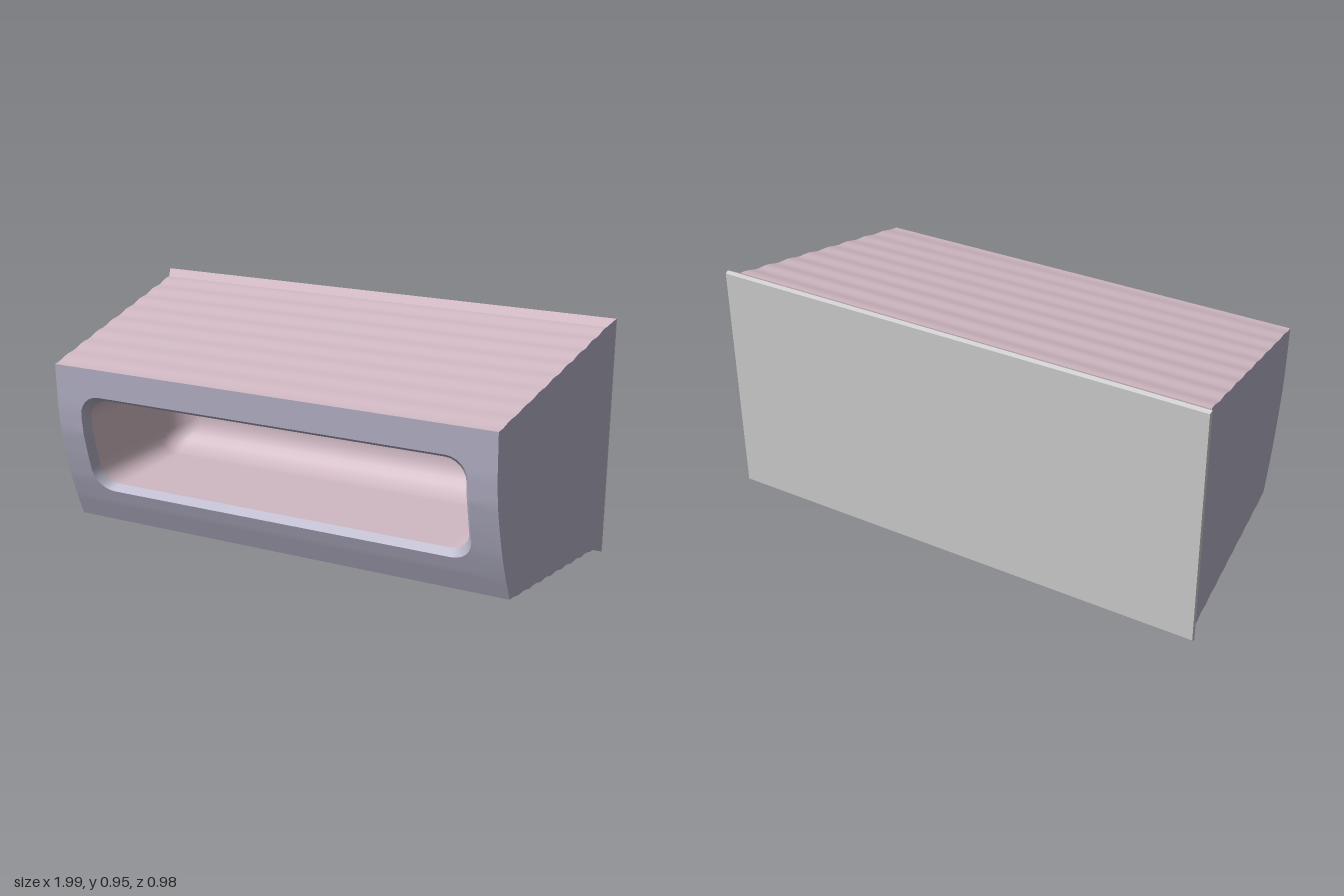
import * as THREE from 'three';

const C = 6, M = 20, BLOCK = C + M, N = 4 * BLOCK; // corner steps, side steps, loop length
const PINK = 0xd0b8c2, SLATE = 0xb4b2c6, GREY = 0xcccccc;
const lerp = THREE.MathUtils.lerp;

// Bowed front: z of the front face at height y
const bow = [[0.11, 0.345], [0.2, 0.385], [0.3, 0.422], [0.4, 0.45], [0.5, 0.474], [0.6, 0.485], [0.77, 0.49]];
function frontZ(y) {
  if (y <= bow[0][0]) return bow[0][1];
  for (let i = 1; i < bow.length; i++) {
    const [y0, z0] = bow[i - 1], [y1, z1] = bow[i];
    if (y <= y1) return lerp(z0, z1, (y - y0) / (y1 - y0));
  }
  return 0.49;
}

// Rounded rectangle, counterclockwise from the front; z is a number or a rule of y
function loop(hw, y0, y1, r, z) {
  const cx = hw - r, corners = [[cx, y1 - r], [-cx, y1 - r], [-cx, y0 + r], [cx, y0 + r]];
  const arc = (k, j) => {
    const a = (k + j / C) * Math.PI / 2, [x, y] = corners[k % 4];
    return new THREE.Vector3(x + r * Math.cos(a), y + r * Math.sin(a), 0);
  };
  const pts = [];
  for (let k = 0; k < 4; k++) {
    for (let j = 0; j <= C; j++) pts.push(arc(k, j));
    const a = arc(k, C), b = arc((k + 1) % 4, 0);
    for (let j = 1; j < M; j++) pts.push(a.clone().lerp(b, j / M));
  }
  pts.forEach(p => { p.z = typeof z === 'function' ? z(p.y) : z; });
  return pts;
}

// Skin over a series of loops, optionally only the points from..to
function skin(name, sections, color, from = 0, to = N) {
  const pos = [], idx = [], w = to - from + 1, closed = to - from === N;
  const row = closed ? N : w;
  for (const s of sections)
    for (let i = 0; i < row; i++) pos.push(...s[(from + i) % N].toArray());
  for (let s = 0; s < sections.length - 1; s++)
    for (let i = 0; i < w - 1; i++) {
      const j = (i + 1) % row, a = s * row + i, b = s * row + j;
      idx.push(a, b, b + row, a, b + row, a + row);
    }
  const g = new THREE.BufferGeometry();
  g.setAttribute('position', new THREE.Float32BufferAttribute(pos, 3));
  g.setIndex(idx);
  g.computeVertexNormals();
  const mesh = new THREE.Mesh(g, new THREE.MeshStandardMaterial({ color }));
  mesh.name = name;
  return mesh;
}

export function createModel() {
  const group = new THREE.Group();
  group.name = 'hollowBox';

  // Flat back panel with a slightly flared rim
  const backEdge = loop(0.995, 0.008, 0.943, 0, -0.49);
  const flare = loop(0.997, 0, 0.95, 0, -0.475);
  const neck = loop(0.975, 0.022, 0.925, 0, -0.43);
  group.add(skin('backPanel', [loop(0, 0.47, 0.47, 0, -0.49), backEdge], GREY));

  // Tapering walls with shallow ripples along the top and bottom
  const walls = [neck], STEPS = 48;
  for (let s = 1; s <= STEPS; s++) {
    const t = s / STEPS;
    const ripple = s < STEPS ? 0.0035 * Math.sin(t * Math.PI * 16) : 0;
    const sec = loop(0.975, lerp(0.022, 0.11, t), lerp(0.925, 0.77, t), 0, 0);
    for (const p of sec) {
      p.z = lerp(-0.43, frontZ(p.y), t);
      p.x *= 1 - 0.084 * (p.z + 0.43);
      p.y += ripple * (p.y > 0.47 ? 1 : -1) * Math.min(1, Math.abs(p.y - 0.47) * 2);
    }
    walls.push(sec);
  }
  [['top', PINK], ['rightWall', SLATE], ['bottom', PINK], ['leftWall', SLATE]].forEach(([name, color], k) => {
    const from = k * BLOCK + C, to = (k + 1) * BLOCK;
    group.add(skin(name, walls, color, from, to));
    group.add(skin(name + 'Rim', [backEdge, flare], GREY, from, to));
    group.add(skin(name + 'Flare', [flare, neck], color, from, to));
  });

  // Bowed front frame around the opening
  const outer = walls[STEPS], opening = loop(0.795, 0.255, 0.66, 0.085, frontZ);
  const face = [];
  for (let s = 0; s <= 10; s++)
    face.push(outer.map((p, i) => {
      const q = p.clone().lerp(opening[i], s / 10);
      q.z = s === 0 ? p.z : frontZ(q.y);
      return q;
    }));
  group.add(skin('frontFrame', face, SLATE));

  // Bevelled lip and the hollow with a rounded back
  const lip = loop(0.775, 0.28, 0.64, 0.08, y => frontZ(y) - 0.035);
  group.add(skin('openingLip', [opening, lip], SLATE));
  const hollow = [lip], BACK = -0.15, R = 0.13;
  hollow.push(loop(0.775, 0.28, 0.64, 0.08, BACK + R));
  for (let s = 1; s <= 8; s++) {
    const a = s / 8 * Math.PI / 2, inset = R * (1 - Math.cos(a));
    hollow.push(loop(0.775 - inset, 0.28 + inset, 0.64 - inset, 0.08 * (1 - s / 10), BACK + R * (1 - Math.sin(a))));
  }
  hollow.push(loop(0, 0.46, 0.46, 0, BACK));
  group.add(skin('hollow', hollow, PINK));
  return group;
}
